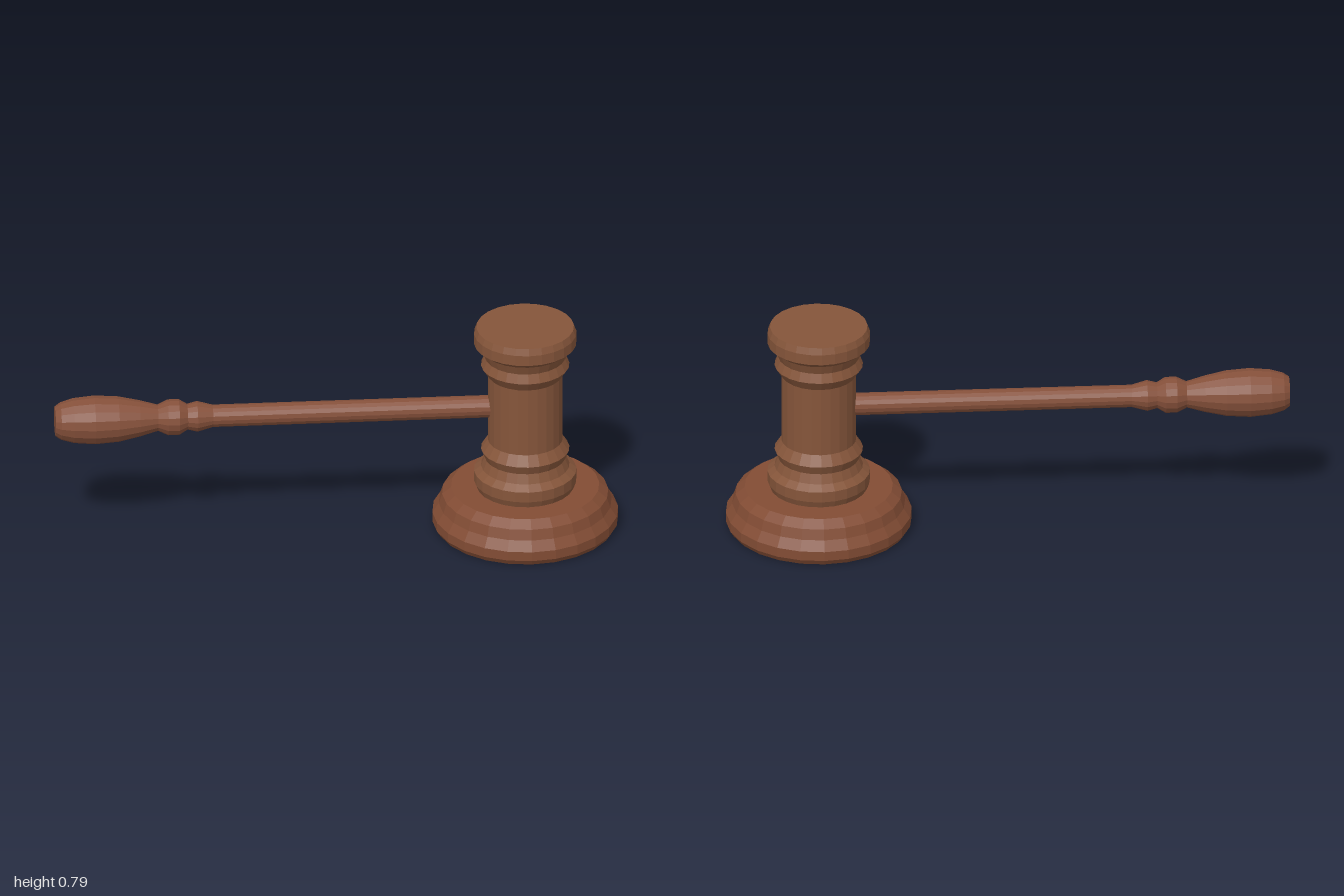
import * as THREE from 'three';

const HEAD_X = 0.67, HANDLE_Y = 0.472;

// Faceted turned-wood part from [radius, height] pairs, bottom to top
function turned(name, profile, sides, color) {
  const points = profile.map(([r, y]) => new THREE.Vector2(r, y));
  const material = new THREE.MeshStandardMaterial({ color, flatShading: true });
  const mesh = new THREE.Mesh(new THREE.LatheGeometry(points, sides), material);
  mesh.name = name;
  return mesh;
}

export function createModel() {
  const group = new THREE.Group();
  group.name = 'gavel';

  // Sounding block
  const block = turned('soundingBlock', [
    [0, 0], [0.317, 0], [0.33, 0.02], [0.33, 0.055], [0.307, 0.09],
    [0.295, 0.127], [0.263, 0.153], [0, 0.153],
  ], 24, 0x824c34);
  block.position.x = HEAD_X;

  // Head: half profile from the middle outwards, mirrored to both ends
  const half = [
    [0.133, 0.13], [0.157, 0.167], [0.144, 0.2], [0.157, 0.234],
    [0.182, 0.254], [0.182, 0.293], [0.173, 0.317], [0, 0.317],
  ];
  const lower = half.map(([r, y]) => [r, -y]).reverse();
  const head = turned('head', [...lower, ...half], 24, 0x85553a);
  head.position.set(HEAD_X, 0.47, 0);

  // Handle: grip, collar, bead and shaft, turned along x
  const handle = turned('handle', [
    [0, -1], [0.053, -1], [0.067, -0.98], [0.08, -0.935], [0.087, -0.86],
    [0.081, -0.775], [0.065, -0.7], [0.047, -0.635], [0.064, -0.6],
    [0.064, -0.56], [0.046, -0.53], [0.055, -0.495], [0.04, -0.44],
    [0.04, 0.6], [0, 0.6],
  ], 16, 0x85503a);
  handle.rotation.z = -Math.PI / 2;
  handle.position.y = HANDLE_Y;

  group.add(block, head, handle);
  return group;
}
